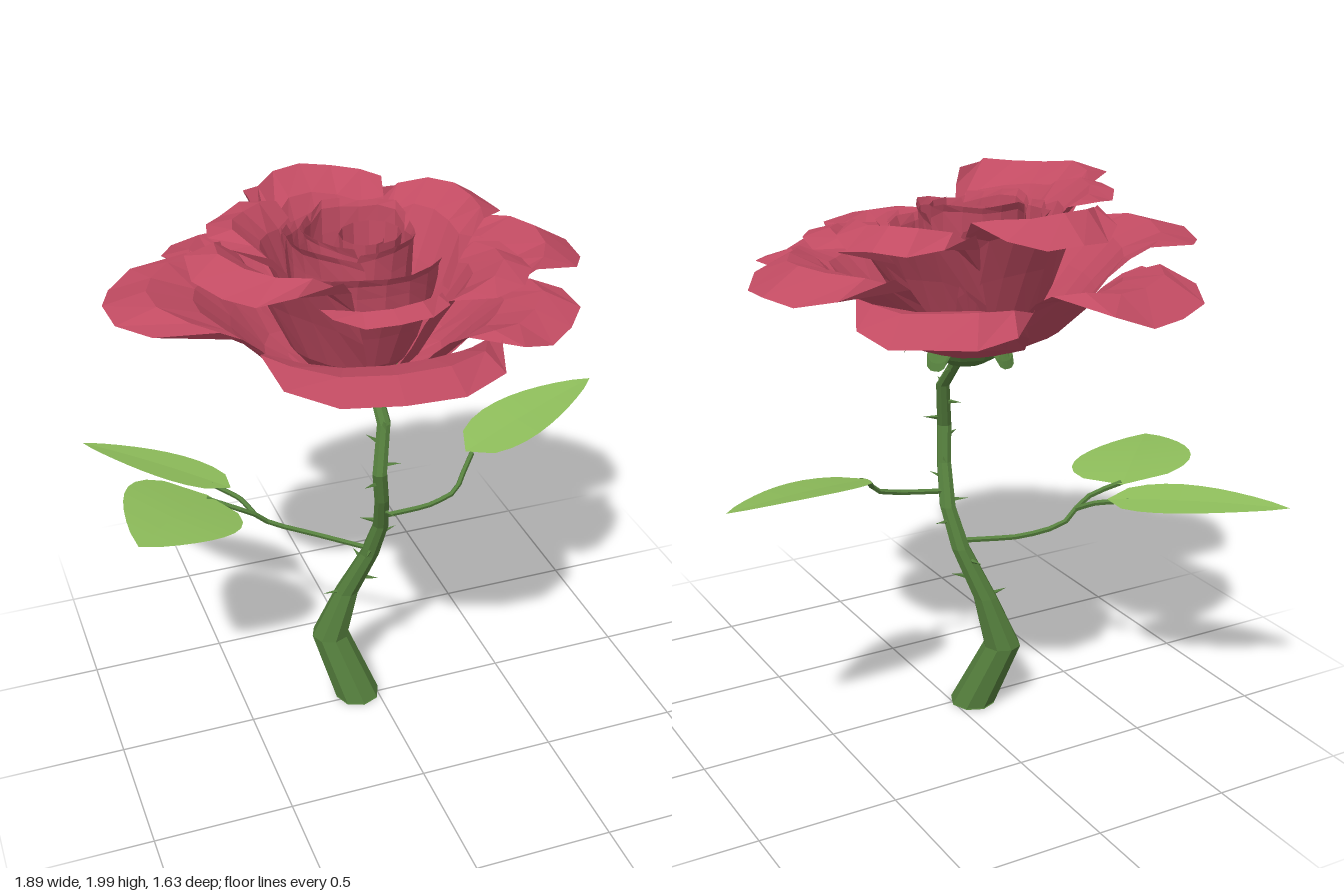
import * as THREE from 'three';

const flat = (name, color) => {
  const m = new THREE.MeshStandardMaterial({ color, flatShading: true, side: THREE.DoubleSide });
  m.name = name;
  return m;
};
const V = (x, y, z) => new THREE.Vector3(x, y, z);
const lerp = THREE.MathUtils.lerp;

// Grid surface from a rule f(u, v) -> Vector3, with u and v in 0..1
function surface(nu, nv, f) {
  const pos = [], idx = [];
  for (let j = 0; j <= nv; j++)
    for (let i = 0; i <= nu; i++) pos.push(...f(i / nu, j / nv).toArray());
  for (let j = 0; j < nv; j++)
    for (let i = 0; i < nu; i++) {
      const a = j * (nu + 1) + i, b = a + nu + 1;
      idx.push(a, a + 1, b, a + 1, b + 1, b);
    }
  const g = new THREE.BufferGeometry();
  g.setAttribute('position', new THREE.Float32BufferAttribute(pos, 3));
  g.setIndex(idx);
  g.computeVertexNormals();
  return g;
}

// Rounded petal: a radial profile swept through an angle, shortened at its sides
function petal(center, deg, profile, baseHalf, topHalf, round = 0.28, wobble = 0.012) {
  const curve = new THREE.SplineCurve(profile.map(p => new THREE.Vector2(...p)));
  return surface(6, 6, (u, v) => {
    const s = u * 2 - 1;
    const p = curve.getPoint(v * (1 - round * v * Math.abs(s) ** 3));
    const half = lerp(baseHalf, topHalf, Math.min(1, v * 1.6)) * (1 - 0.12 * v ** 4);
    const a = THREE.MathUtils.degToRad(deg + s * half);
    const w = wobble * v * Math.sin(s * 5 + deg * 1.7 + v * 3);
    return V(center.x + Math.sin(a) * (p.x + w), p.y + w, center.z + Math.cos(a) * (p.x + w));
  });
}

export function createModel() {
  const root = new THREE.Group();
  root.name = 'rose';
  const red = flat('petalRed', 0xc14b62);
  const green = flat('stemGreen', 0x557f3d);
  const light = flat('leafGreen', 0x8dbc5a);
  const add = (parent, name, geo, mat) => {
    const m = new THREE.Mesh(geo, mat);
    m.name = name;
    parent.add(m);
    return m;
  };
  const group = name => {
    const g = new THREE.Group();
    g.name = name;
    root.add(g);
    return g;
  };

  // Stem: eight-sided rings as [x, y, z, radius]
  const rings = [
    [-0.075, 0.01, -0.022, 0.085], [-0.155, 0.26, -0.1, 0.07], [-0.092, 0.46, -0.078, 0.045],
    [-0.02, 0.65, -0.022, 0.036], [0.005, 0.8, 0.03, 0.03], [-0.015, 0.95, 0.095, 0.027],
    [-0.033, 1.08, 0.125, 0.027], [0, 1.25, 0.075, 0.025], [-0.008, 1.38, -0.03, 0.022],
  ];
  const last = rings.length - 1;
  add(root, 'stem', surface(8, last, (u, v) => {
    const [x, y, z, r] = rings[Math.round(v * last)], a = u * Math.PI * 2;
    return V(x + Math.sin(a) * r, y, z + Math.cos(a) * r);
  }), green);
  const cap = add(root, 'stemEnd', new THREE.CircleGeometry(0.085, 8, Math.PI / 2), green);
  cap.rotation.x = Math.PI / 2;
  cap.position.set(-0.075, 0.005, -0.022);

  // Thorns spiral up the stem
  const thorns = group('thorns');
  for (let i = 0; i < 13; i++) {
    const y = 0.46 + i * 0.072;
    const k = rings.findIndex(r => r[1] > y), A = rings[k - 1], B = rings[k];
    const t = (y - A[1]) / (B[1] - A[1]), a = i * 2.4 - 1.5;
    const dir = V(Math.sin(a), 0.1, Math.cos(a)).normalize();
    const m = add(thorns, 'thorn', new THREE.ConeGeometry(0.01, 0.065, 4), green);
    m.position.set(lerp(A[0], B[0], t), y, lerp(A[2], B[2], t))
      .addScaledVector(dir, lerp(A[3], B[3], t) + 0.018);
    m.quaternion.setFromUnitVectors(V(0, 1, 0), dir);
  }

  // Leaf stalks
  const stalks = group('leafStalks');
  const stalk = (...pts) => add(stalks, 'stalk', new THREE.TubeGeometry(
    new THREE.CatmullRomCurve3(pts.map(p => V(...p)), false, 'catmullrom', 0.3), 10, 0.01, 5), green);
  stalk([0, 0.85, 0.05], [0.17, 0.87, 0.07], [0.28, 0.9, 0.06], [0.31, 0.94, 0.04], [0.38, 0.99, -0.03]);
  stalk([-0.03, 0.675, -0.02], [-0.2, 0.7, -0.14], [-0.34, 0.74, -0.2], [-0.41, 0.8, -0.2], [-0.47, 0.835, -0.2], [-0.57, 0.875, -0.24]);
  stalk([-0.4, 0.79, -0.2], [-0.44, 0.83, -0.27], [-0.52, 0.855, -0.36]);

  // Leaves: broad near the base, pointed at the tip, creased along the middle
  const leaves = group('leaves');
  const leaf = (base, tip, halfWidth, tilt) => {
    const a = V(...base), b = V(...tip);
    const side = b.clone().sub(a).cross(V(0, 1, 0)).normalize();
    add(leaves, 'leaf', surface(4, 10, (u, v) => {
      const s = u * 2 - 1;
      const w = halfWidth * Math.max(0, Math.sin(Math.PI * v ** 0.65)) ** 0.8;
      const p = a.clone().lerp(b, v).addScaledVector(side, s * w);
      p.y += s * w * tilt + Math.abs(s) * w * 0.06 + 0.01 * Math.sin(Math.PI * v);
      return p;
    }), light);
  };
  leaf([0.36, 0.995, -0.04], [0.97, 1.07, -0.27], 0.12, -0.12);
  leaf([-0.56, 0.875, -0.26], [-0.88, 0.92, 0.05], 0.22, 0.17);
  leaf([-0.46, 0.855, -0.31], [-0.92, 0.89, -0.76], 0.105, -0.15);

  // Calyx and curled sepals
  const calyxCenter = V(-0.025, 0, -0.04);
  const calyx = add(root, 'calyx', new THREE.LatheGeometry(
    [[0, 1.35], [0.07, 1.365], [0.13, 1.4], [0.15, 1.43], [0, 1.435]].map(p => new THREE.Vector2(...p)), 10), green);
  calyx.position.copy(calyxCenter);
  const sepals = group('sepals');
  for (let i = 0; i < 5; i++)
    add(sepals, 'sepal', petal(calyxCenter, i * 72 + 50,
      [[0.08, 1.385], [0.14, 1.425], [0.19, 1.435], [0.215, 1.385]], 28, 15, 0.3, 0), green);

  // Open petals as [angle, reach, crest height, lip height, half angle]
  const flower = group('flower');
  const center = V(-0.05, 0, -0.03);
  const openPetals = (name, list) => list.forEach(([deg, R, top, lip, half]) => {
    const h = top - 1.42;
    add(flower, name, petal(center, deg, [
      [0.05, 1.43], [R * 0.26, 1.435], [R * 0.45, 1.42 + h * 0.37],
      [R * 0.6, 1.42 + h * 0.78], [R * 0.8, top], [R, lip],
    ], 58, half), red);
  });
  openPetals('outerPetal', [
    [205, 0.83, 1.74, 1.65, 34], [143, 0.88, 1.73, 1.65, 30], [265, 0.84, 1.79, 1.75, 34],
    [99, 0.82, 1.8, 1.71, 32], [350, 0.84, 1.76, 1.73, 44], [50, 0.73, 1.75, 1.7, 34],
  ]);
  openPetals('middlePetal', [
    [300, 0.64, 1.98, 1.92, 40], [250, 0.49, 1.96, 1.94, 44], [184, 0.62, 1.97, 1.88, 38],
    [121, 0.61, 1.93, 1.86, 36], [66, 0.56, 1.83, 1.8, 44], [357, 0.46, 1.82, 1.8, 46],
  ]);

  // Upright inner petals as [angle, radius, rim height, half angle]
  const heart = V(-0.04, 0, -0.065);
  [[0, 0.28, 1.86, 62], [200, 0.25, 1.9, 65], [290, 0.24, 1.92, 60],
    [40, 0.19, 1.92, 65], [160, 0.19, 1.95, 65], [280, 0.19, 1.94, 65]].forEach(([deg, R, top, half]) =>
    add(flower, 'innerPetal', petal(heart, deg, [
      [0.04, 1.45], [R * 0.7, 1.58], [R * 0.92, 1.72], [R * 0.95, top - 0.05], [R * 1.03, top],
    ], half, half, 0.12, 0.008), red));

  // Rolled core and the folded petals closing its bottom
  add(flower, 'core', surface(14, 3, (u, v) => {
    const a = u * Math.PI * 2.4, r = (0.13 - 0.07 * u) * (0.75 + 0.25 * v);
    return V(heart.x + 0.02 + Math.sin(a) * r, lerp(1.6, 1.92 - 0.03 * u, v), heart.z + 0.02 + Math.cos(a) * r);
  }), red);
  const floor = add(flower, 'coreFloor', new THREE.ConeGeometry(0.14, 0.1, 6), red);
  floor.position.set(heart.x + 0.01, 1.75, heart.z + 0.01);

  return root;
}
